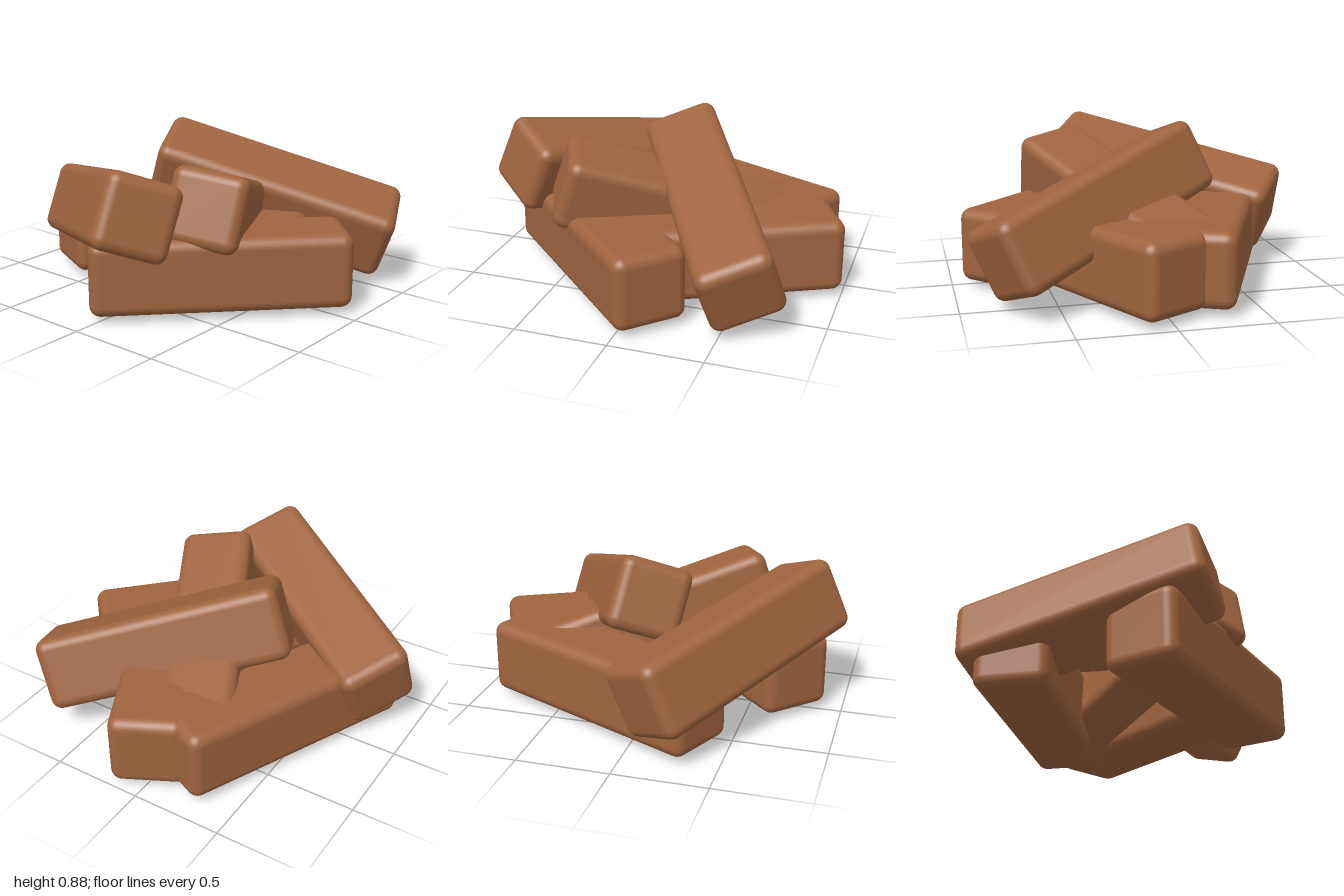
import * as THREE from 'three';
import { RoundedBoxGeometry } from 'three/addons/geometries/RoundedBoxGeometry.js';

// Each block: name, centre, then yaw, pitch and roll in degrees (length runs along local z)
const BLOCKS = [
  // bottom layer, lying flat
  ['bottomLeftBlock', [-0.41, 0.245, -0.22], [-24.4, 0, 0]],
  ['bottomBackBlock', [0.275, 0.245, -0.325], [27, 0, 0]],
  ['bottomFrontBlock', [0.35, 0.245, 0.3], [-44.5, 0, 0]],
  // upper layer, leaning on the others
  ['middleLeaningBlock', [0.105, 0.402, -0.09], [27, -17, -9]],
  ['frontLeaningBlock', [-0.3, 0.46, 0.445], [57.5, -12, -20]],
  ['backLeaningBlock', [0.26, 0.475, -0.315], [120, 16.7, 20]],
];

export function createModel() {
  const pile = new THREE.Group();
  pile.name = 'blockPile';

  // One soft-edged square block shared by the whole pile
  const geometry = new RoundedBoxGeometry(0.4, 0.4, 1.355, 5, 0.06);
  const material = new THREE.MeshStandardMaterial({ color: 0xa0643f });

  for (const [name, position, angles] of BLOCKS) {
    const [yaw, pitch, roll] = angles.map(THREE.MathUtils.degToRad);
    const block = new THREE.Mesh(geometry, material);
    block.name = name;
    block.position.set(...position);
    block.rotation.set(pitch, yaw, roll, 'YXZ');
    pile.add(block);
  }
  return pile;
}
